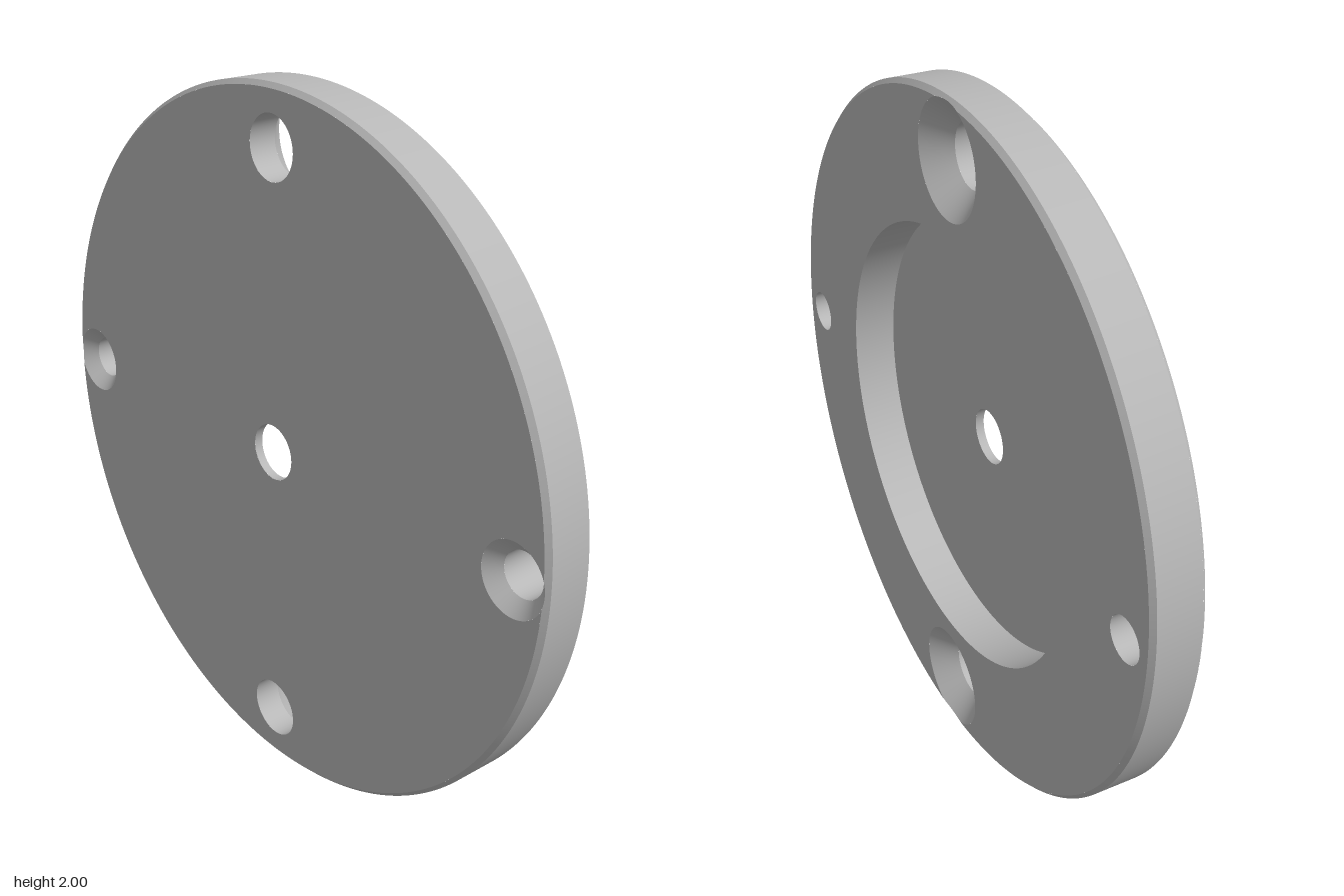
import * as THREE from 'three';

const HALF = 0.075;           // half the plate thickness
const CH = 0.013;             // edge chamfer
const FACE = 1 - CH;          // radius of the flat faces
const POCKET_R = 0.63, POCKET_DEPTH = 0.125, CENTRE_R = 0.08;
const SMALL = { c: 0.893, r: 0.062, R: 0.1 };    // side holes, countersunk in front
const LARGE = { c: 0.84, r: 0.087, R: 0.156 };   // upper and lower holes, countersunk behind

const steel = new THREE.MeshStandardMaterial({ color: 0xb8b8b8 });
steel.name = 'grey metal';

const add = (group, name, geometry) => {
  const mesh = new THREE.Mesh(geometry, steel);
  mesh.name = name;
  group.add(mesh);
  return mesh;
};

// Closed ring of points from a rule of the angle
const ring = (n, rule) => Array.from({ length: n }, (_, i) => rule((i / n) * Math.PI * 2));
const circle = (cx, cy, r, z, n = 64) =>
  ring(n, (a) => [cx + r * Math.cos(a), cy + r * Math.sin(a), z]);

// Smooth band between two rings: upper then lower faces inward, lower then upper faces outward
function loft(a, b) {
  const n = a.length, index = [];
  for (let i = 0; i < n; i++) {
    const j = (i + 1) % n;
    index.push(i, j, n + i, j, n + j, n + i);
  }
  const g = new THREE.BufferGeometry();
  g.setAttribute('position', new THREE.Float32BufferAttribute([...a, ...b].flat(), 3));
  g.setIndex(index);
  g.computeVertexNormals();
  return g;
}

// Depth at which a rising function crosses zero, or 0 if it starts above zero
function crossing(f) {
  if (f(0) >= 0) return 0;
  let lo = 0, hi = CH;
  for (let i = 0; i < 30; i++) {
    const mid = (lo + hi) / 2;
    if (f(mid) < 0) lo = mid; else hi = mid;
  }
  return hi;
}

const holePath = (x, y, r) => new THREE.Path().absarc(x, y, r, 0, Math.PI * 2, true);

// One side of the plate, facing +z: flat face, chamfer, countersinks and their bores
function buildSide(name, sunk, dirs, plain, plainDirs, middleR) {
  const side = new THREE.Group();
  side.name = name;
  const { c, r, R } = sunk;
  const centres = dirs.map((d) => [c * Math.cos(d), c * Math.sin(d)]);

  // Flat face, whose outline is notched where the countersinks break the edge
  const a = Math.acos((FACE * FACE + c * c - R * R) / (2 * FACE * c));
  const b = Math.atan2(FACE * Math.sin(a), FACE * Math.cos(a) - c);
  const shape = new THREE.Shape();
  dirs.forEach((d, i) => {
    const next = d + Math.PI;
    const [x, y] = centres[1 - i];
    shape.absarc(0, 0, FACE, d + a, next - a, false);
    shape.absarc(x, y, R, next - b, next + b, true);
  });
  shape.holes.push(holePath(0, 0, middleR));
  for (const d of plainDirs) {
    shape.holes.push(holePath(plain.c * Math.cos(d), plain.c * Math.sin(d), plain.r));
  }
  add(side, 'flatFace', new THREE.ShapeGeometry(shape, 96)).position.z = HALF;

  // Edge chamfer, cut back by the countersinks
  const inner = ring(720, (t) => {
    const u = [Math.cos(t), Math.sin(t)];
    const d = Math.max(...centres.map(([x, y]) => crossing((e) =>
      Math.hypot((FACE + e) * u[0] - x, (FACE + e) * u[1] - y) - (R - e))));
    return [(FACE + d) * u[0], (FACE + d) * u[1], HALF - d];
  });
  add(side, 'edgeChamfer', loft(circle(0, 0, 1, HALF - CH, 720), inner));

  // Countersinks and bores
  const seat = HALF - (R - r);
  for (const [x, y] of centres) {
    const mouth = ring(96, (t) => {
      const u = [Math.cos(t), Math.sin(t)];
      const d = crossing((e) =>
        FACE + e - Math.hypot(x + (R - e) * u[0], y + (R - e) * u[1]));
      return [x + (R - d) * u[0], y + (R - d) * u[1], HALF - d];
    });
    add(side, 'countersink', loft(mouth, circle(x, y, r, seat, 96)));
    add(side, 'screwHole', loft(circle(x, y, r, seat), circle(x, y, r, -HALF)));
  }
  return side;
}

export function createModel() {
  const model = new THREE.Group();
  model.name = 'mountingPlate';
  const plate = new THREE.Group();
  plate.name = 'plate';
  plate.position.y = 1;
  model.add(plate);

  const across = [0, Math.PI], upright = [Math.PI / 2, Math.PI * 1.5];
  const front = buildSide('frontSide', SMALL, across, LARGE, upright, CENTRE_R);
  const back = buildSide('backSide', LARGE, upright, SMALL, across, POCKET_R);
  back.rotation.y = Math.PI;
  plate.add(front, back);

  // Outer rim
  add(plate, 'outerRim',
    loft(circle(0, 0, 1, CH - HALF, 256), circle(0, 0, 1, HALF - CH, 256)));

  // Round pocket in the back
  const floorZ = HALF - POCKET_DEPTH;
  add(back, 'pocketWall',
    loft(circle(0, 0, POCKET_R, HALF, 192), circle(0, 0, POCKET_R, floorZ, 192)));
  add(back, 'pocketFloor', new THREE.RingGeometry(CENTRE_R, POCKET_R, 192)).position.z = floorZ;

  // Centre hole through the pocket floor
  add(plate, 'centreHole',
    loft(circle(0, 0, CENTRE_R, HALF), circle(0, 0, CENTRE_R, -floorZ)));
  return model;
}
